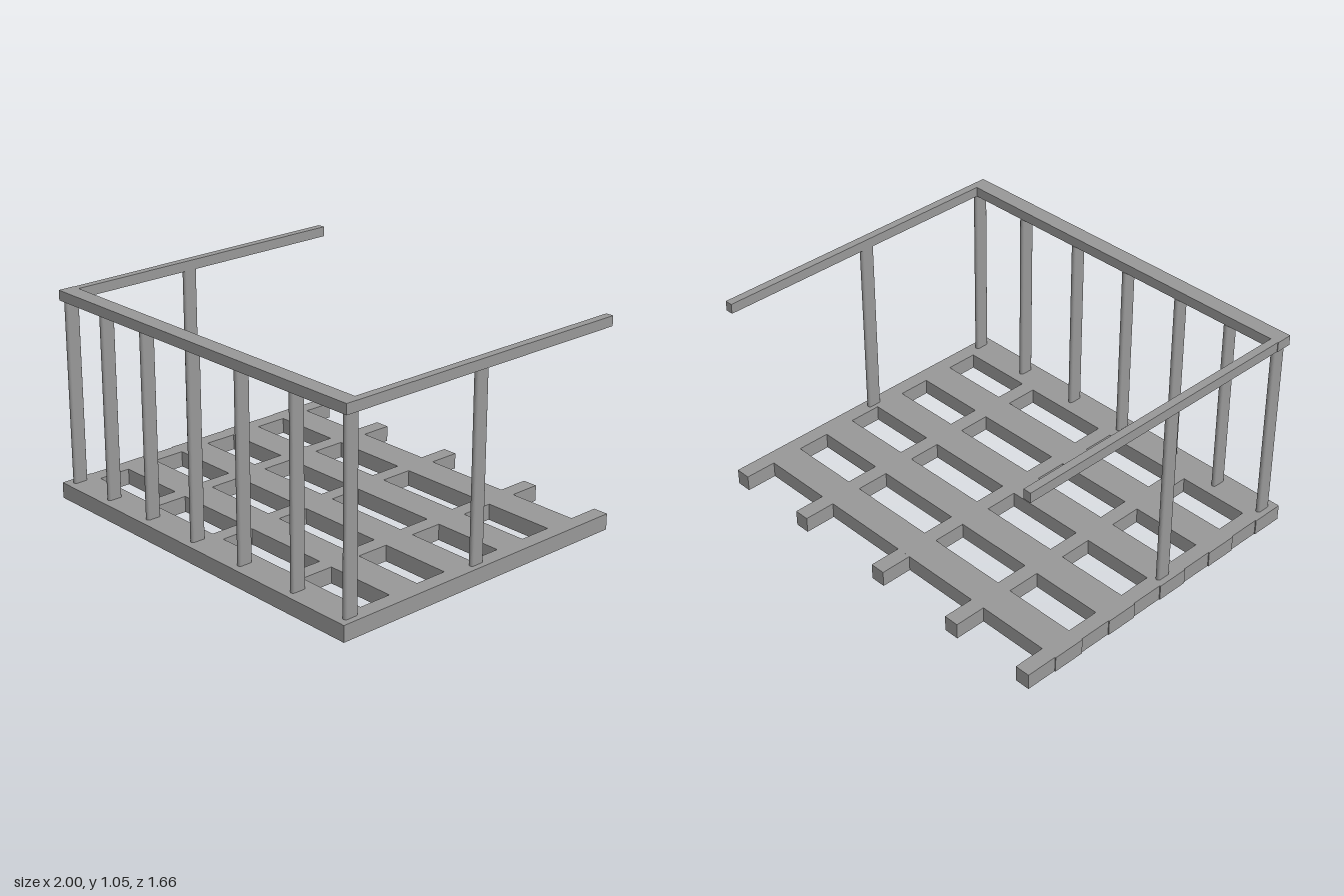
import * as THREE from 'three';

export function createModel() {
  const model = new THREE.Group();
  const grey = new THREE.MeshStandardMaterial({ color: 0x979797 });
  grey.name = 'grey';

  // box given by its limits on each axis
  function bar(name, x0, x1, y0, y1, z0, z1, parent) {
    const mesh = new THREE.Mesh(new THREE.BoxGeometry(x1 - x0, y1 - y0, z1 - z0), grey);
    mesh.position.set((x0 + x1) / 2, (y0 + y1) / 2, (z0 + z1) / 2);
    mesh.name = name;
    parent.add(mesh);
  }

  // floor: wide slats with joist pieces filling the gaps between them
  const floor = new THREE.Group();
  floor.name = 'floorFrame';
  model.add(floor);
  const top = 0.08, slatDepth = 0.165;
  const slats = [-0.67, -0.335, 0, 0.332, 0.665];
  slats.forEach(z => bar('slat', -1, 1, 0, top, z, z + slatDepth, floor));
  for (const x of [-0.995, -0.55, -0.06, 0.48, 0.923]) {
    let z = -0.83;
    for (const s of slats) {
      bar('joist', x, x + 0.077, 0, top, z, s, floor);
      z = s + slatDepth;
    }
  }

  // posts: thin flat bars with rounded front and back edges
  const r = 0.0125, half = 0.025, railBottom = 1.0;
  const section = new THREE.Shape();
  section.absarc(0, half, r, 0, Math.PI, false);
  section.absarc(0, -half, r, Math.PI, Math.PI * 2, false);
  section.closePath();
  const postGeometry = new THREE.ExtrudeGeometry(section, {
    depth: railBottom - top, bevelEnabled: false, curveSegments: 10,
  });
  postGeometry.rotateX(-Math.PI / 2);
  function post(name, x, z) {
    const mesh = new THREE.Mesh(postGeometry, grey);
    mesh.position.set(x, top, z);
    mesh.name = name;
    model.add(mesh);
  }
  for (const x of [-0.957, -0.682, -0.383, -0.055, 0.275, 0.628, 0.958]) post('frontPost', x, 0.757);
  post('rightPost', -0.957, 0.058);
  post('leftPost', 0.958, 0.004);

  // handrails on three sides, open at the back
  const railTop = 1.05;
  bar('frontRail', -0.985, 0.985, railBottom, railTop, 0.723, 0.805, model);
  bar('rightRail', -0.982, -0.942, railBottom, railTop, -0.815, 0.723, model);
  bar('leftRail', 0.945, 0.985, railBottom, railTop, -0.815, 0.723, model);

  return model;
}
